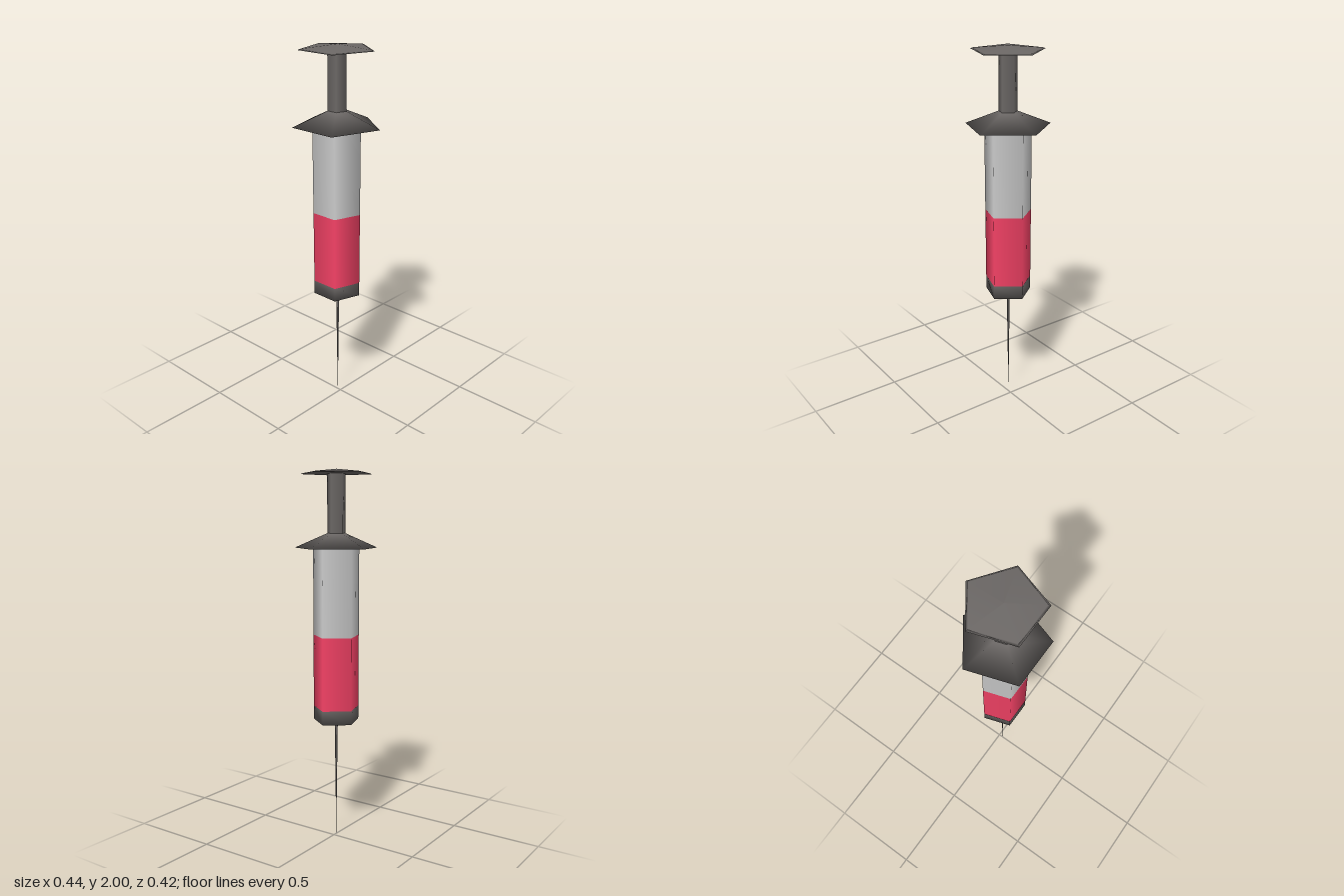
import * as THREE from 'three';

const SIDES = 5;
const CENTRE_Z = 0.022; // pentagon axis, so that the bounds are centred on z = 0

// Five-sided turned part with one corner pointing to the back; profile runs bottom to top as [radius, y]
function turned(name, material, profile) {
  const points = profile.map(([r, y]) => new THREE.Vector2(r, y));
  const mesh = new THREE.Mesh(new THREE.LatheGeometry(points, SIDES, Math.PI), material);
  mesh.name = name;
  mesh.position.z = CENTRE_Z;
  return mesh;
}

export function createModel() {
  const group = new THREE.Group();
  group.name = 'syringe';

  const dark = new THREE.MeshStandardMaterial({ color: 0x6c6866 });
  const grey = new THREE.MeshStandardMaterial({ color: 0xcccccc });
  const red = new THREE.MeshStandardMaterial({ color: 0xf54266 });
  const barrelR = 0.129;

  group.add(
    // needle tapering to a point on the ground
    turned('needle', dark, [[0, 0], [0.009, 0.665]]),
    // closed lower end of the barrel
    turned('barrelBase', dark, [[0, 0.66], [barrelR, 0.66], [barrelR, 0.735]]),
    // liquid band and the empty barrel above it
    turned('liquid', red, [[barrelR, 0.735], [barrelR, 1.13]]),
    turned('barrel', grey, [[barrelR, 1.13], [barrelR, 1.597]]),
    // finger flange with a sloping top
    turned('fingerFlange', dark, [[0, 1.595], [0.232, 1.595], [0.05, 1.672]]),
    // plunger stem and thumb rest
    turned('plungerStem', dark, [[0.05, 1.67], [0.05, 1.98]]),
    turned('thumbRest', dark, [[0, 1.976], [0.198, 1.976], [0.184, 1.981], [0, 2]]),
  );
  return group;
}
